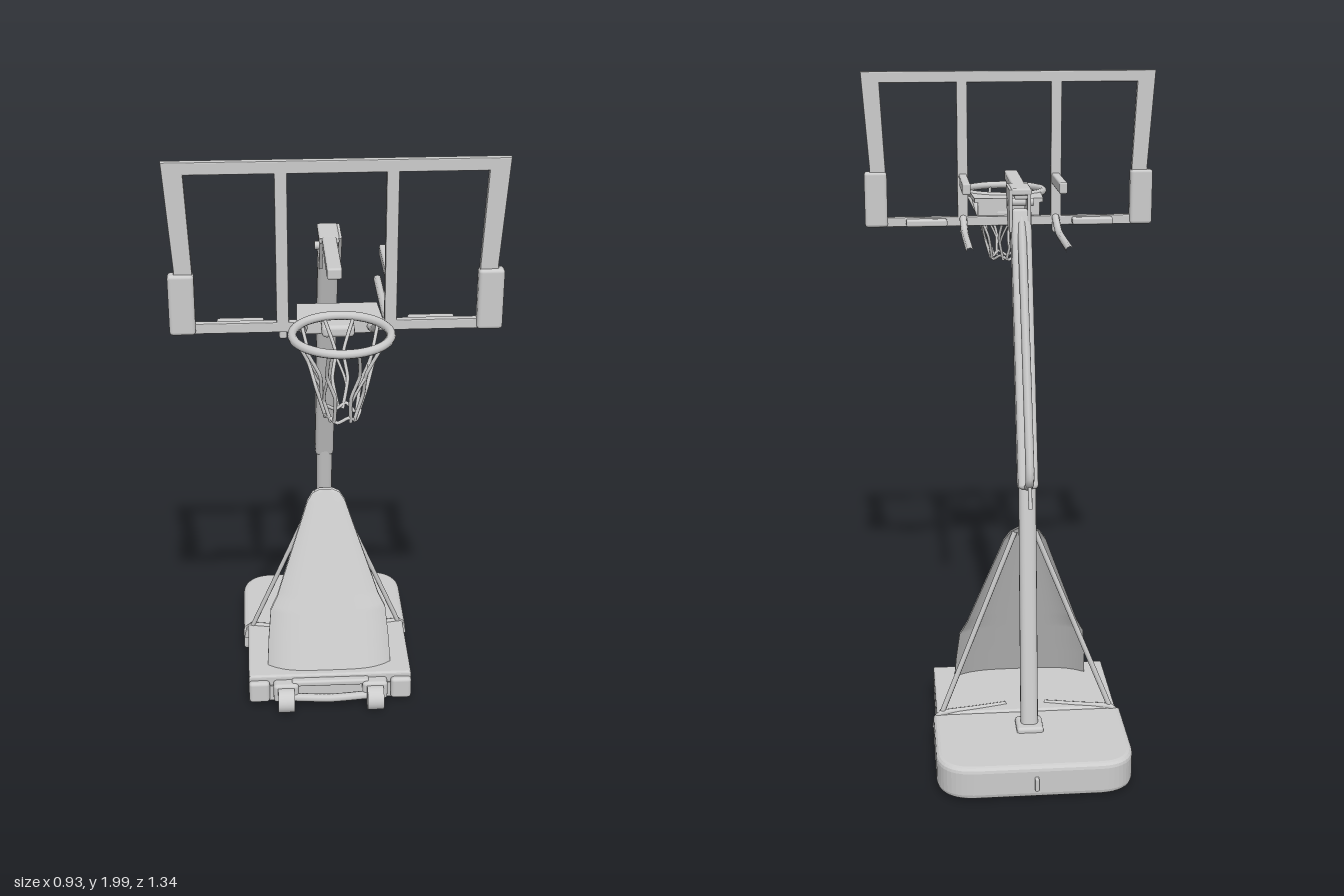
import * as THREE from 'three';
import { RoundedBoxGeometry } from 'three/addons/geometries/RoundedBoxGeometry.js';
import { ParametricGeometry } from 'three/addons/geometries/ParametricGeometry.js';

const grey = new THREE.MeshStandardMaterial({ color: 0xcccccc });
const greyThin = new THREE.MeshStandardMaterial({ color: 0xcccccc, side: THREE.DoubleSide });
const V = (x, y, z) => new THREE.Vector3(x, y, z);

export function createModel() {
  const model = new THREE.Group();
  model.name = 'basketballHoop';

  const add = (name, geometry, pos = [0, 0, 0], material = grey) => {
    const mesh = new THREE.Mesh(geometry, material);
    mesh.name = name;
    mesh.position.set(...pos);
    model.add(mesh);
    return mesh;
  };
  const block = (name, w, h, d, pos, r = 0.006) =>
    add(name, new RoundedBoxGeometry(w, h, d, 2, r), pos);
  // rounded beam running from a to b
  const beam = (name, a, b, w, h, r = 0.006) => {
    const mesh = block(name, w, h, a.distanceTo(b), [0, 0, 0], r);
    mesh.position.copy(a).add(b).multiplyScalar(0.5);
    mesh.lookAt(b);
    return mesh;
  };
  // round bar through points
  const rod = (name, points, r, closed = false, tension = 0.3) => {
    const curve = new THREE.CatmullRomCurve3(points, closed, 'catmullrom', tension);
    return add(name, new THREE.TubeGeometry(curve, points.length * 6, r, 8, closed));
  };
  // flat plate drawn in x/z, extruded upward
  const plate = (name, shape, y, height, bevel) => {
    const g = new THREE.ExtrudeGeometry(shape, {
      depth: height - 2 * bevel, bevelEnabled: bevel > 0, bevelSize: bevel,
      bevelThickness: bevel, bevelOffset: -bevel, bevelSegments: 3, curveSegments: 10,
    });
    g.rotateX(-Math.PI / 2);
    return add(name, g, [0, y + bevel, 0]);
  };

  // ---- base tank: wide rear half, narrower front half with a hollow underside
  const rear = new THREE.Shape();
  rear.moveTo(-0.29, 0.31).lineTo(0.285, 0.31).lineTo(0.285, 0.55)
    .quadraticCurveTo(0.28, 0.65, 0.18, 0.655).lineTo(-0.19, 0.655)
    .quadraticCurveTo(-0.285, 0.65, -0.29, 0.55).closePath();
  plate('baseRear', rear, 0.017, 0.1, 0.016);

  const frontOutline = () => new THREE.Shape()
    .moveTo(-0.275, 0).lineTo(0.275, 0).lineTo(0.275, 0.32).lineTo(-0.275, 0.32).closePath();
  const lower = frontOutline();
  lower.holes.push(new THREE.Path([[-0.1, 0.09], [-0.1, 0.25], [0.1, 0.25], [0.1, 0.09]]
    .map((p) => new THREE.Vector2(...p))));
  plate('baseFrontLower', lower, 0.022, 0.06, 0);
  plate('baseFrontUpper', frontOutline(), 0.08, 0.042, 0.008);
  block('rearNub', 0.012, 0.04, 0.02, [0, 0.065, -0.66], 0.004);

  // ---- transport wheels and front grip
  for (const s of [-1, 1]) {
    const wheel = add('wheel', new THREE.CylinderGeometry(0.042, 0.042, 0.055, 24), [s * 0.15, 0.053, 0.042]);
    wheel.rotation.z = Math.PI / 2;
    block('wheelFork', 0.085, 0.07, 0.05, [s * 0.15, 0.07, 0.01], 0.012);
    block('frontCorner', 0.07, 0.08, 0.03, [s * 0.24, 0.065, 0.004], 0.012);
  }
  rod('frontGrip', [V(-0.13, 0.055, 0.03), V(0, 0.05, 0.035), V(0.13, 0.055, 0.03)], 0.014);
  block('frontLedge', 0.26, 0.022, 0.03, [0, 0.1, 0.008], 0.008);

  // ---- shield panel leaning back onto the pole
  const rows = [[0.11, 0.21], [0.2, 0.205], [0.3, 0.195], [0.345, 0.172], [0.4, 0.153],
    [0.5, 0.118], [0.6, 0.083], [0.655, 0.064], [0.685, 0.045], [0.698, 0.02]];
  const shield = (back) => new ParametricGeometry((u, v, out) => {
    const t = v * (rows.length - 1), i = Math.min(Math.floor(t), rows.length - 2), f = t - i;
    const y = THREE.MathUtils.lerp(rows[i][0], rows[i + 1][0], f);
    const w = THREE.MathUtils.lerp(rows[i][1], rows[i + 1][1], f);
    const q = 2 * u - 1;
    out.set(q * w, y, -0.02 - (y - 0.11) * 0.39 - 0.2 * w * q ** 4 - back);
  }, 16, 27);
  add('shieldFront', shield(0), [0, 0, 0], greyThin);
  add('shieldBack', shield(0.012), [0, 0, 0], greyThin);

  // ---- side stays and straps
  for (const s of [-1, 1]) {
    rod('stay', [V(s * 0.03, 0.685, -0.262), V(s * 0.145, 0.4, -0.285), V(s * 0.262, 0.11, -0.312)], 0.008);
    rod('strap', [V(s * 0.06, 0.118, -0.27), V(s * 0.16, 0.12, -0.295), V(s * 0.265, 0.118, -0.315),
      V(s * 0.28, 0.07, -0.312)], 0.009);
  }

  // ---- pole
  const low = V(0, 0.1, -0.415), mid = V(-0.005, 0.86, -0.275);
  beam('lowerPole', low, mid, 0.052, 0.05, 0.018);
  block('poleSocket', 0.08, 0.025, 0.085, [0, 0.12, -0.415], 0.01);
  beam('upperPole', V(-0.005, 0.83, -0.293), V(-0.005, 1.62, -0.045), 0.06, 0.07, 0.012);

  // ---- lift handle behind the pole
  rod('liftHandle', [V(-0.005, 1.6, -0.075), V(-0.005, 1.5, -0.125), V(-0.005, 1.2, -0.25), V(-0.005, 0.93, -0.355),
    V(-0.005, 0.875, -0.362), V(-0.005, 0.85, -0.33), V(-0.005, 0.835, -0.28)], 0.013);
  rod('handleTip', [V(-0.005, 0.87, -0.355), V(-0.005, 0.8, -0.388)], 0.006);

  // ---- head and arms carrying the board
  for (const x of [-0.032, 0.022]) {
    const cheek = new THREE.Shape().moveTo(0.04, 1.685).lineTo(-0.09, 1.685)
      .lineTo(-0.09, 1.56).lineTo(-0.02, 1.57).closePath();
    const g = new THREE.ExtrudeGeometry(cheek, { depth: 0.01, bevelEnabled: false });
    g.rotateY(-Math.PI / 2);
    add('headCheek', g, [x + 0.01, 0, 0]);
  }
  block('headCap', 0.06, 0.02, 0.13, [-0.005, 1.678, -0.026]);
  beam('centreArm', V(-0.005, 1.67, -0.08), V(-0.005, 1.676, 0.305), 0.042, 0.032);
  for (const s of [-1, 1]) {
    const x = s * 0.148;
    block('upperArm', 0.026, 0.036, 0.225, [x, 1.663, 0.195]);
    rod('lowerArm', [V(x, 1.54, 0.3), V(x, 1.515, 0.23), V(x, 1.505, 0.17), V(x, 1.505, -0.1)], 0.012);
    block('armFoot', 0.022, 0.035, 0.03, [x, 1.51, 0.3]);
    block('railBracket', 0.13, 0.022, 0.035, [s * 0.265, 1.53, 0.285]);
  }
  const pivot = add('pivotPin', new THREE.CylinderGeometry(0.012, 0.012, 0.08, 12), [-0.005, 1.64, -0.03]);
  pivot.rotation.z = Math.PI / 2;

  // ---- open backboard frame
  const frame = new THREE.Shape([[-0.45, 1.515], [0.45, 1.515], [0.442, 1.7], [0.463, 2], [-0.463, 2], [-0.442, 1.7]]
    .map((p) => new THREE.Vector2(...p)));
  const opening = (...pts) => frame.holes.push(new THREE.Path(pts.map((p) => new THREE.Vector2(...p))));
  opening([-0.132, 1.545], [-0.132, 1.965], [0.132, 1.965], [0.132, 1.545]);
  for (const s of [-1, 1]) {
    opening([s * 0.166, 1.545], [s * 0.166, 1.965], [s * 0.405, 1.965], [s * 0.392, 1.7], [s * 0.392, 1.545]);
    block('cornerPad', 0.072, 0.175, 0.04, [s * 0.424, 1.602, 0.312], 0.01);
  }
  add('boardFrame', new THREE.ExtrudeGeometry(frame, {
    depth: 0.015, bevelEnabled: true, bevelSize: 0.003, bevelThickness: 0.003, bevelOffset: -0.003, bevelSegments: 2,
  }), [0, 0, 0.303]);

  // ---- rim and its mount
  const cz = 0.53, R = 0.13;
  const rim = add('rim', new THREE.TorusGeometry(R, 0.012, 10, 48), [0, 1.595, cz]);
  rim.rotation.x = Math.PI / 2;
  const mount = new THREE.Shape().moveTo(-0.11, -0.32).lineTo(0.11, -0.32).lineTo(0.118, -0.47);
  mount.absarc(0, -cz, R, 0.47, Math.PI - 0.47, false);
  mount.closePath();
  plate('rimPlate', mount, 1.585, 0.014, 0);
  block('rimMount', 0.2, 0.075, 0.02, [0, 1.553, 0.332]);
  for (const s of [-1, 1]) {
    rod('rimBrace', [V(s * 0.09, 1.535, 0.33), V(s * 0.095, 1.545, 0.38), V(s * 0.105, 1.588, 0.45)], 0.01);
  }
  block('rimSpring', 0.09, 0.035, 0.08, [0, 1.545, 0.36], 0.012);

  // ---- net: tapering cords, crossing loops and a bottom ring
  const at = (a, t) => {
    const r = THREE.MathUtils.lerp(0.125, 0.045, Math.pow(t, 0.75));
    return V(r * Math.cos(a), 1.59 - 0.225 * t, cz + 0.015 * t + r * Math.sin(a));
  };
  const cords = 10, step = (Math.PI * 2) / cords;
  for (let i = 0; i < cords; i++) {
    const a = i * step, k = (i % 2 ? 1 : -1) * step * 0.3;
    rod('netCord', [at(a, 0), at(a + k, 0.35), at(a, 0.65), at(a + k, 1)], 0.005);
    if (i % 2) rod('netLoop', [at(a + k, 0.4), at(a + step * 0.7, 0.6), at(a + step, 0.75)], 0.004);
  }
  rod('netHem', Array.from({ length: 10 }, (_, i) => at(i * step, i % 2 ? 1 : 0.93)), 0.005, true);

  return model;
}
